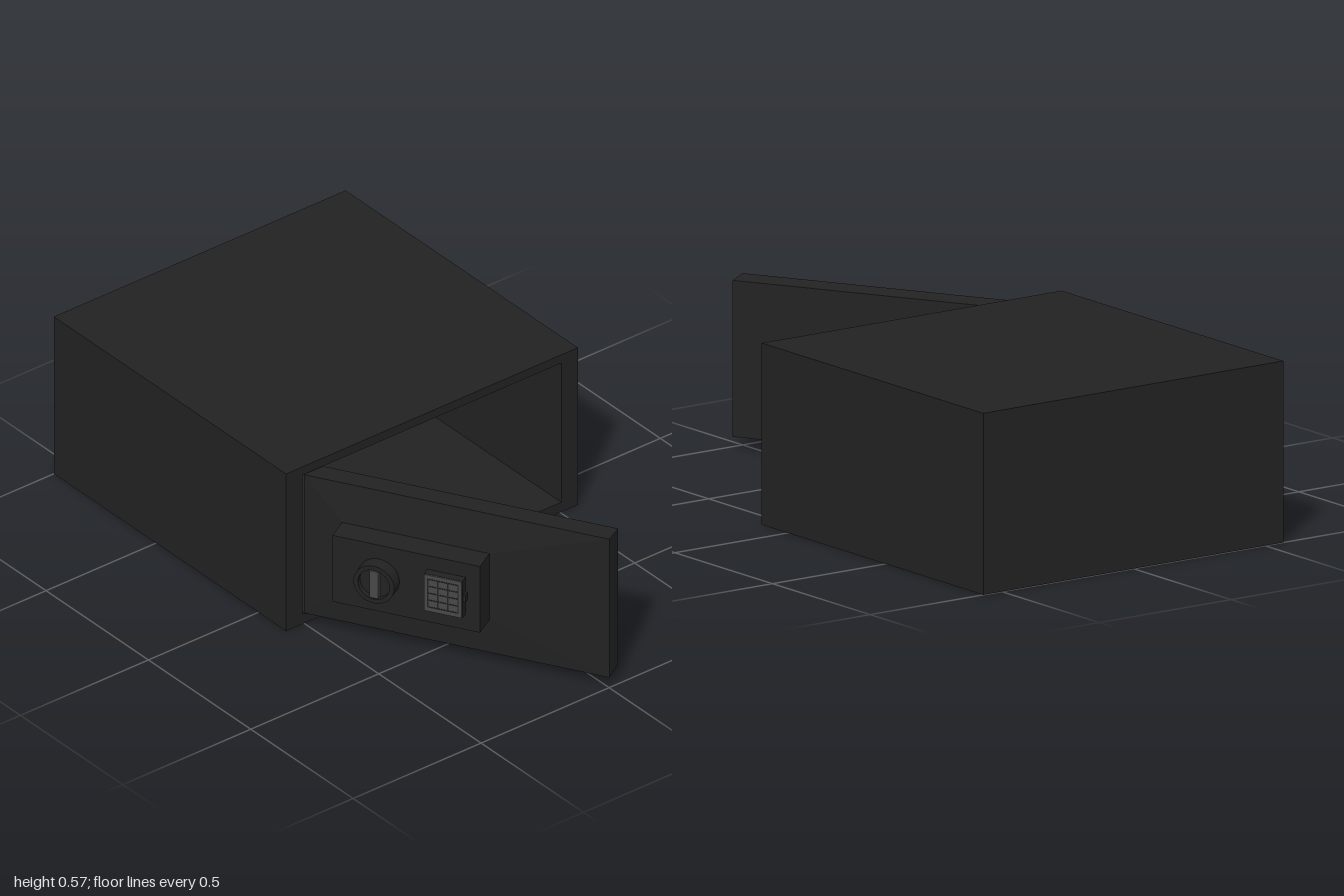
import * as THREE from 'three';

const darkMetal = new THREE.MeshStandardMaterial({ color: 0x222222 });
darkMetal.name = 'dark metal';
const greyPlastic = new THREE.MeshStandardMaterial({ color: 0x484848 });
greyPlastic.name = 'grey plastic';

function add(parent, name, geometry, material, x = 0, y = 0, z = 0) {
  const mesh = new THREE.Mesh(geometry, material);
  mesh.name = name;
  mesh.position.set(x, y, z);
  parent.add(mesh);
  return mesh;
}

// Box given by its limits on each axis
function block(parent, name, material, [x0, x1], [y0, y1], [z0, z1]) {
  return add(parent, name, new THREE.BoxGeometry(x1 - x0, y1 - y0, z1 - z0), material,
    (x0 + x1) / 2, (y0 + y1) / 2, (z0 + z1) / 2);
}

// Closed solid through rectangles [x0, x1, y0, y1, z], ordered back to front
function loftRects(rects) {
  const rings = rects.map(([x0, x1, y0, y1, z]) => [[x0, y0, z], [x1, y0, z], [x1, y1, z], [x0, y1, z]]);
  const pos = [];
  const quad = (a, b, c, d) => pos.push(...a, ...b, ...c, ...a, ...c, ...d);
  for (let i = 0; i < rings.length - 1; i++) {
    for (let k = 0; k < 4; k++) {
      const n = (k + 1) % 4;
      quad(rings[i][k], rings[i][n], rings[i + 1][n], rings[i + 1][k]);
    }
  }
  const [a, b, c, d] = rings[0];
  quad(d, c, b, a);
  quad(...rings[rings.length - 1]);
  const geometry = new THREE.BufferGeometry();
  geometry.setAttribute('position', new THREE.Float32BufferAttribute(pos, 3));
  geometry.computeVertexNormals();
  return geometry;
}

function rectangle(PathType, x, y0, y1) {
  return new PathType([[-x, y0], [x, y0], [x, y1], [-x, y1]].map(p => new THREE.Vector2(...p)));
}

export function createModel() {
  const model = new THREE.Group();
  model.name = 'safe';

  // Hollow cabinet, open at the front
  const shell = rectangle(THREE.Shape, 0.57, 0, 0.57);
  shell.holes.push(rectangle(THREE.Path, 0.505, 0.035, 0.54));
  add(model, 'cabinetShell', new THREE.ExtrudeGeometry(shell, { depth: 1.1, bevelEnabled: false }),
    darkMetal, 0, 0, -0.965);
  block(model, 'cabinetBack', darkMetal, [-0.57, 0.57], [0, 0.57], [-1, -0.965]);

  // Door swung open; its local x runs from hinge to free edge, z points outward
  const door = new THREE.Group();
  door.name = 'door';
  door.position.set(-0.5, 0, 0.135);
  door.rotation.y = -Math.PI / 3;
  model.add(door);
  add(door, 'doorPanel', loftRects([
    [0, 1, 0.042, 0.533, -0.075],
    [0, 1, 0.037, 0.539, 0],
    [0.13, 0.613, 0.165, 0.405, 0.014],
  ]), darkMetal);

  // Lock housing
  block(door, 'lockHousing', darkMetal, [0.13, 0.613], [0.165, 0.405], [0.012, 0.093]);

  // Round dial with a raised rim and a grip across it
  const rim = new THREE.LatheGeometry(
    [[0.067, 0], [0.067, 0.044], [0.052, 0.044], [0.052, 0.026], [0, 0.026]]
      .map(p => new THREE.Vector2(...p)), 32).toNonIndexed();
  rim.computeVertexNormals();
  rim.rotateX(Math.PI / 2);
  const dialMesh = add(door, 'dial', rim, darkMetal, 0.282, 0.288, 0.093);
  dialMesh.material.side = THREE.DoubleSide;
  block(door, 'dialGrip', greyPlastic, [0.268, 0.296], [0.24, 0.336], [0.117, 0.138]);

  // Keypad block with a grey face and dark grooves between the keys
  block(door, 'keypadBase', darkMetal, [0.44, 0.565], [0.222, 0.355], [0.093, 0.118]);
  block(door, 'keypadFace', greyPlastic, [0.441, 0.564], [0.223, 0.354], [0.118, 0.122]);
  for (let i = 0; i < 4; i++) {
    const x = 0.453 + i * 0.033;
    block(door, 'keyGrooveVertical', darkMetal, [x - 0.002, x + 0.002], [0.239, 0.339], [0.121, 0.123]);
  }
  for (let i = 0; i < 5; i++) {
    const y = 0.239 + i * 0.025;
    block(door, 'keyGrooveHorizontal', darkMetal, [0.453, 0.552], [y - 0.002, y + 0.002], [0.121, 0.123]);
  }
  block(door, 'keypadTab', darkMetal, [0.565, 0.572], [0.275, 0.303], [0.093, 0.112]);

  return model;
}
